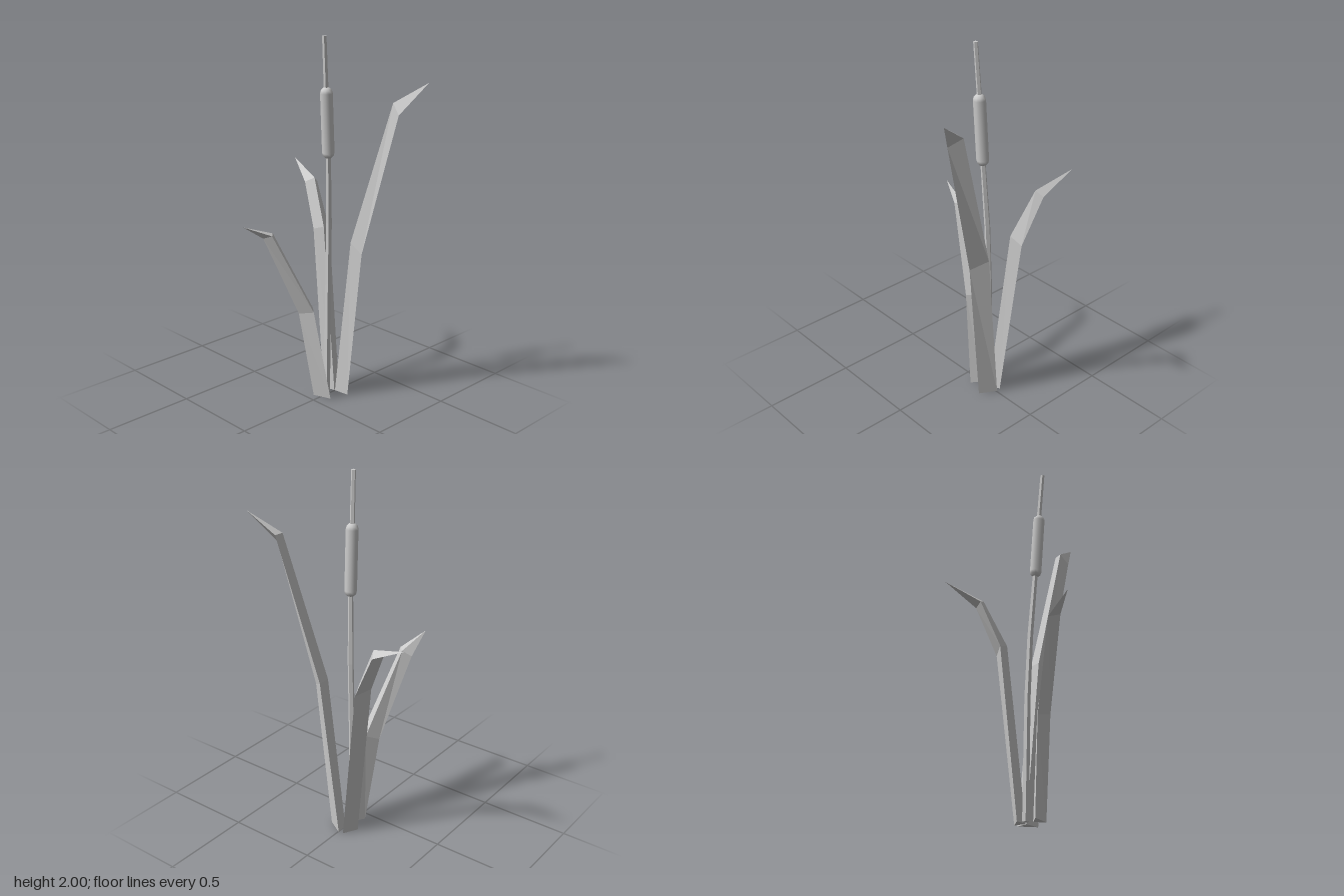
import * as THREE from 'three';

const flat = new THREE.MeshStandardMaterial({ color: 0xcccccc, flatShading: true });
const smooth = new THREE.MeshStandardMaterial({ color: 0xcccccc });

// Skin a list of cross-sections (bottom to top); a one-point section closes to a tip.
function loft(sections) {
  const sides = sections[0].length;
  const pos = [];
  const tri = (a, b, c) => pos.push(...a, ...b, ...c);
  const at = (ring, i) => ring[i % ring.length];
  for (let s = 0; s < sections.length - 1; s++) {
    const lower = sections[s], upper = sections[s + 1];
    for (let i = 0; i < sides; i++) {
      tri(at(lower, i), at(upper, i), at(upper, i + 1));
      if (lower.length > 1) tri(at(lower, i), at(upper, i + 1), at(lower, i + 1));
    }
  }
  // end caps
  const first = sections[0], last = sections[sections.length - 1];
  for (let i = 1; i < sides - 1; i++) {
    tri(first[0], first[i], first[i + 1]);
    if (last.length > 1) tri(last[0], last[i + 1], last[i]);
  }
  const geo = new THREE.BufferGeometry();
  geo.setAttribute('position', new THREE.Float32BufferAttribute(pos, 3));
  geo.computeVertexNormals();
  return geo;
}

function addMesh(group, name, geometry, material) {
  const mesh = new THREE.Mesh(geometry, material);
  mesh.name = name;
  group.add(mesh);
  return mesh;
}

export function createModel() {
  const group = new THREE.Group();
  group.name = 'reedPlant';

  // Tall leaf: three-sided blade with a bend at each section
  const tallLeaf = [
    [[0.17, 0, 0], [0.235, 0, -0.005], [0.183, 0, 0.085]],
    [[0.19, 0.9, 0.09], [0.257, 0.9, 0.09], [0.195, 0.85, 0.167]],
    [[0.262, 1.675, 0.305], [0.312, 1.675, 0.31], [0.25, 1.62, 0.355]],
    [[0.35, 1.785, 0.46]],
  ];
  addMesh(group, 'frontLeaf', loft(tallLeaf), flat);

  // Short leaf: the same blade, lower and turned about its base corner
  const turn = THREE.MathUtils.degToRad(130);
  const cos = Math.cos(turn), sin = Math.sin(turn);
  const shortLeaf = tallLeaf.map((ring) => ring.map(([x, y, z]) => {
    const dx = x - 0.235, dz = z + 0.005;
    return [0.08 + dx * cos - dz * sin, y * 0.588, 0.055 + dx * sin + dz * cos];
  }));
  addMesh(group, 'sideLeaf', loft(shortLeaf), flat);

  // Back leaf: bends late, then droops outward
  addMesh(group, 'backLeaf', loft([
    [[0.17, 0, -0.005], [0.152, 0, -0.073], [0.23, 0, -0.03]],
    [[0.195, 0.94, -0.12], [0.175, 0.92, -0.18], [0.26, 0.9, -0.14]],
    [[0.245, 1.185, -0.245], [0.212, 1.16, -0.287], [0.285, 1.155, -0.265]],
    [[0.297, 1.255, -0.46]],
  ]), flat);

  // Stalk: tapering five-sided stem along a gentle bend; entries are x, y, z, radius
  const stem = [
    [0.138, 0, -0.03, 0.018], [0.138, 0.65, -0.025, 0.017], [0.132, 1.0, -0.015, 0.016],
    [0.11, 1.38, 0, 0.014], [0.087, 1.72, 0.005, 0.013], [0.065, 2, 0.012, 0.012],
  ];
  addMesh(group, 'stalk', loft(stem.map(([x, y, z, r]) =>
    Array.from({ length: 5 }, (_, i) => {
      const a = (i / 5) * Math.PI * 2;
      return [x + r * Math.cos(a), y, z + r * Math.sin(a)];
    }))), flat);

  // Seed head: rounded cylinder threaded on the stalk
  const low = new THREE.Vector3(0.11, 1.36, 0);
  const high = new THREE.Vector3(0.085, 1.74, 0.006);
  const axis = high.clone().sub(low);
  const radius = 0.033;
  const head = addMesh(group, 'seedHead',
    new THREE.CapsuleGeometry(radius, axis.length() - radius * 2, 3, 10), smooth);
  head.position.copy(low).lerp(high, 0.5);
  head.quaternion.setFromUnitVectors(new THREE.Vector3(0, 1, 0), axis.normalize());

  return group;
}
